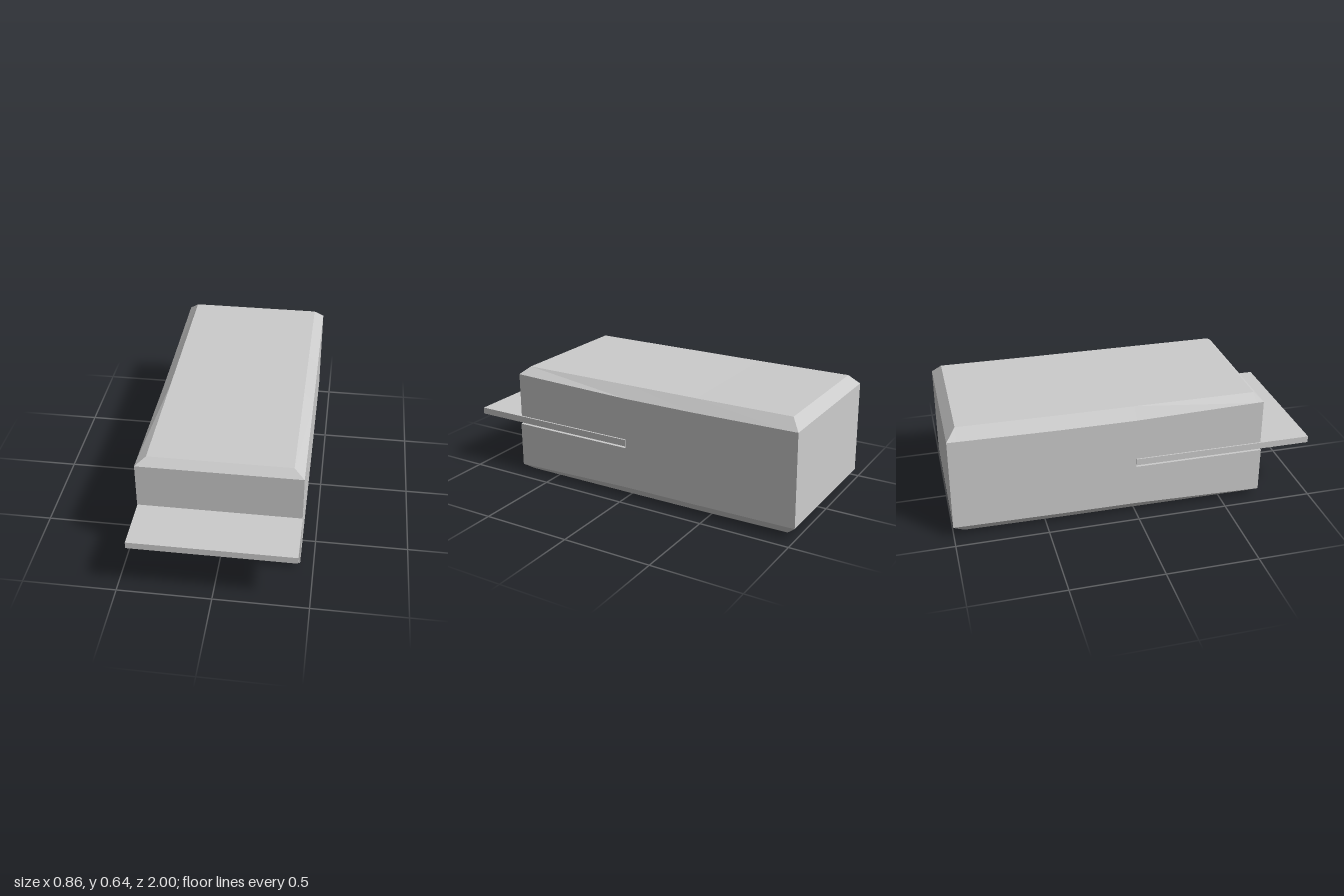
import * as THREE from 'three';

const W = 0.43, INSET = 0.375;      // half widths: wall and bevelled face
const SLOT_LOW = 0.293, SLOT_HIGH = 0.344;
const material = new THREE.MeshStandardMaterial({ color: 0xcccccc, flatShading: true });

// One cross-section, counter-clockwise from the front; a flat end drops its bevel inset
function ring({ top, wallTop, wallLow, low, zTop, zLow }) {
  const tx = top > wallTop ? INSET : W, bx = low < wallLow ? INSET : W;
  return [
    [tx, top, zTop], [-tx, top, zTop], [-W, wallTop, zTop], [-W, wallLow, zLow],
    [-bx, low, zLow], [bx, low, zLow], [W, wallLow, zLow], [W, wallTop, zTop],
  ];
}

// Section given as [zTop, top, wallTop, wallLow, low, zLow]
const section = ([zTop, top, wallTop, wallLow, low, zLow = zTop]) =>
  ring({ top, wallTop, wallLow, low, zTop, zLow });

// Skin the sections from back to front and add end faces
function loft(name, rows, capBack, capFront) {
  const rings = rows.map(section), pos = [];
  const quad = (a, b, c, d) => pos.push(...a, ...b, ...c, ...a, ...c, ...d);
  for (let i = 0; i < rings.length - 1; i++) {
    for (let j = 0; j < 8; j++) {
      const k = (j + 1) % 8;
      quad(rings[i][j], rings[i][k], rings[i + 1][k], rings[i + 1][j]);
    }
  }
  if (capBack) {
    const r = rings[0];
    quad(r[2], r[7], r[6], r[3]);
  }
  if (capFront) {
    const r = rings[rings.length - 1];
    quad(r[7], r[2], r[3], r[6]);
  }
  const geo = new THREE.BufferGeometry();
  geo.setAttribute('position', new THREE.Float32BufferAttribute(pos, 3));
  geo.computeVertexNormals();
  const mesh = new THREE.Mesh(geo, material);
  mesh.name = name;
  return mesh;
}

export function createModel() {
  const group = new THREE.Group();
  group.name = 'slottedBlock';

  // Solid rear half with bevelled back edges
  group.add(loft('rearBody', [
    [-0.992, 0.585, 0.585, 0.07, 0.07, -1],
    [-0.94, 0.64, 0.584, 0.069, 0.01],
    [-0.4, 0.636, 0.577, 0.062, 0.004],
    [0, 0.635, 0.577, 0.06, 0.002],
  ], true, false));

  // Front half above the slot
  group.add(loft('upperJaw', [
    [0, 0.635, 0.577, SLOT_HIGH, SLOT_HIGH],
    [0.672, 0.633, 0.594, SLOT_HIGH, SLOT_HIGH],
    [0.713, 0.595, 0.595, SLOT_HIGH, SLOT_HIGH],
  ], false, true));

  // Front half below the slot
  group.add(loft('lowerJaw', [
    [0, SLOT_LOW, SLOT_LOW, 0.06, 0.002],
    [0.682, SLOT_LOW, SLOT_LOW, 0.041, 0],
    [0.72, SLOT_LOW, SLOT_LOW, 0.04, 0.04],
  ], false, true));

  // Back wall of the slot
  const slotWall = new THREE.Mesh(new THREE.PlaneGeometry(2 * W, SLOT_HIGH - SLOT_LOW), material);
  slotWall.name = 'slotWall';
  slotWall.position.y = (SLOT_HIGH + SLOT_LOW) / 2;
  group.add(slotWall);

  // Thin plate sliding out of the slot
  const plate = new THREE.Mesh(new THREE.BoxGeometry(2 * W, 0.037, 0.996), material);
  plate.name = 'plate';
  plate.position.set(0, 0.321, 0.502);
  group.add(plate);

  return group;
}
